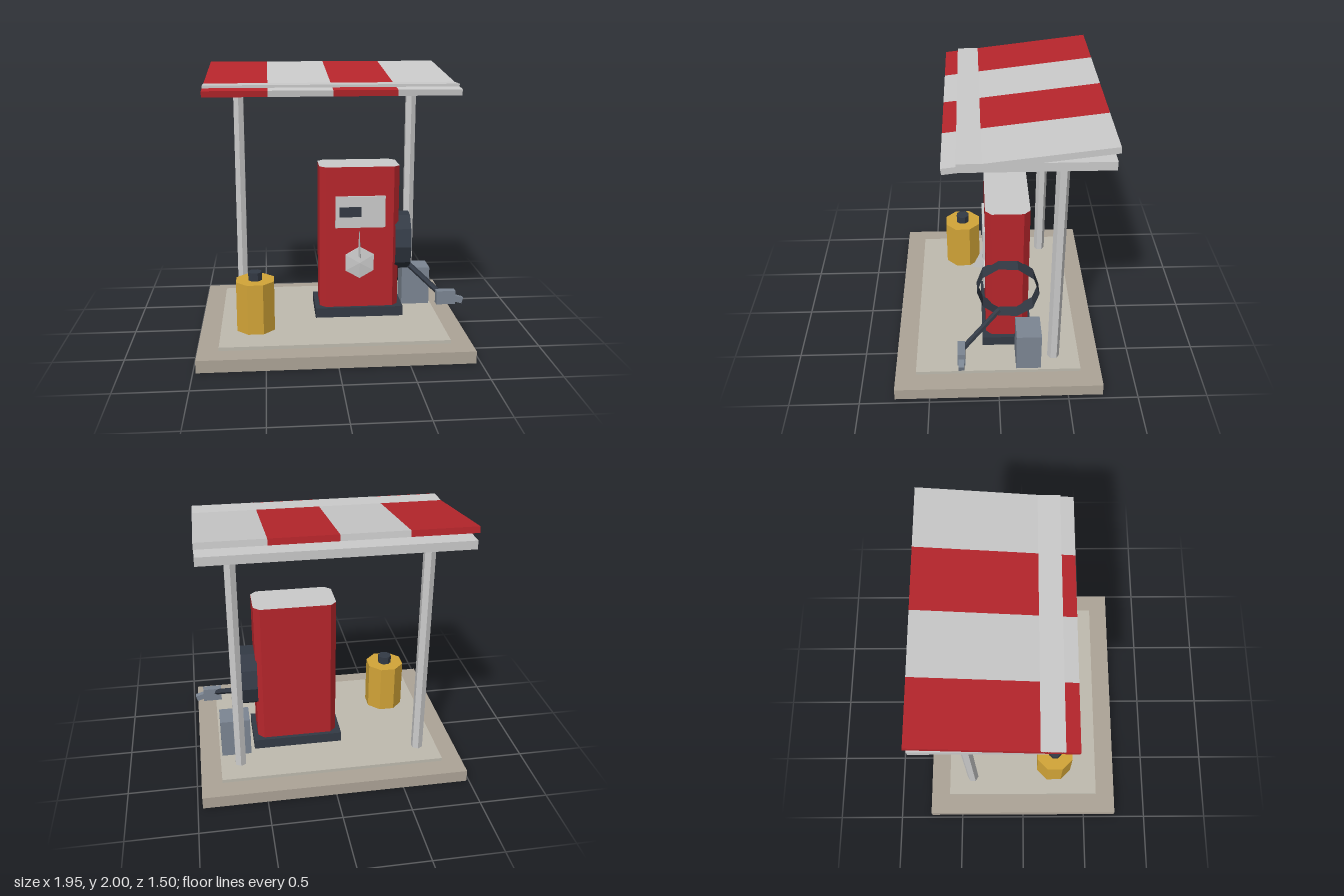
import * as THREE from 'three';

const mat = (color, extra = {}) => new THREE.MeshStandardMaterial({ color, flatShading: true, ...extra });

export function createModel() {
  const model = new THREE.Group();
  const grey = mat(0xcccccc), red = mat(0xb8262c), dark = mat(0x333a45), steel = mat(0x7d8794);
  const yellow = mat(0xd4a638), concrete = mat(0xaea598), paving = mat(0xc0bcb0);

  const add = (name, geometry, material, parent = model) => {
    const mesh = new THREE.Mesh(geometry, material);
    mesh.name = name;
    parent.add(mesh);
    return mesh;
  };
  // Box given by its low and high limits on each axis
  const box = (name, material, [x0, x1], [y0, y1], [z0, z1], parent) => {
    const mesh = add(name, new THREE.BoxGeometry(x1 - x0, y1 - y0, z1 - z0), material, parent);
    mesh.position.set((x0 + x1) / 2, (y0 + y1) / 2, (z0 + z1) / 2);
    return mesh;
  };
  // Upright prism with a number of sides
  const prism = (name, material, r, sides, x, y0, y1, z, turn = 0) => {
    const mesh = add(name, new THREE.CylinderGeometry(r, r, y1 - y0, sides), material);
    mesh.position.set(x, (y0 + y1) / 2, z);
    mesh.rotation.y = turn;
    return mesh;
  };

  // Ground
  box('groundBase', concrete, [-0.98, 0.965], [0, 0.09], [-0.75, 0.75]);
  box('groundSlab', paving, [-0.83, 0.815], [0.09, 0.115], [-0.6, 0.6]);

  // Canopy: two posts, a flat ceiling and a sloping striped roof
  for (const x of [-0.683, 0.668]) prism('canopyPost', grey, 0.044, 6, x, 0.115, 1.85, -0.412);
  box('canopyCeiling', grey, [-0.905, 0.89], [1.84, 1.9], [-0.71, 0.262]);
  const roof = new THREE.Group();
  roof.name = 'canopyRoof';
  roof.position.set(0, 1.9135, -0.185);
  roof.rotation.x = 0.12;
  model.add(roof);
  const stripe = 1.795 / 4;
  for (let i = 0; i < 4; i++) {
    const x = -0.905 + i * stripe;
    box('roofStripe', i % 2 ? grey : red, [x, x + stripe], [-0.0215, 0.0215], [-0.5415, 0.5415], roof);
  }

  // Pump cabinet with chamfered corners and a grey top
  const [x0, x1, z0, z1, c] = [-0.085, 0.515, -0.23, 0.083, 0.045];
  const outline = new THREE.Shape([
    [x0 + c, -z1], [x1 - c, -z1], [x1, -z1 + c], [x1, -z0 - c],
    [x1 - c, -z0], [x0 + c, -z0], [x0, -z0 - c], [x0, -z1 + c],
  ].map(([x, y]) => new THREE.Vector2(x, y)));
  const cabinet = new THREE.ExtrudeGeometry(outline, { depth: 1.09, bevelEnabled: false });
  cabinet.rotateX(-Math.PI / 2).translate(0, 0.19, 0);
  add('pumpCabinet', cabinet, [grey, red]);
  box('pumpPlinth', dark, [-0.12, 0.55], [0.115, 0.19], [-0.26, 0.11]);
  box('pumpPanel', grey, [0.03, 0.405], [0.82, 1.06], [0.08, 0.1]);
  box('pumpDisplay', dark, [0.06, 0.225], [0.905, 0.98], [0.095, 0.109]);

  // Six-sided badge and the thin fin above it
  const badge = new THREE.LatheGeometry(
    [[0.124, 0], [0.124, 0.012], [0, 0.025]].map(([r, y]) => new THREE.Vector2(r, y)), 6);
  badge.rotateX(Math.PI / 2);
  add('pumpBadge', badge, mat(0xcccccc, { side: THREE.DoubleSide })).position.set(0.215, 0.545, 0.082);
  const fin = add('pumpFin', new THREE.ConeGeometry(1, 0.22, 4), grey);
  fin.scale.set(0.012, 1, 0.093);
  fin.position.set(0.213, 0.71, 0.083);

  // Coiled hose: a thin ten-sided band, skewed slightly along its axis
  const coil = new THREE.CylinderGeometry(0.222, 0.222, 0.12, 10, 1, true);
  coil.rotateZ(-Math.PI / 2);
  const p = coil.attributes.position;
  for (let i = 0; i < p.count; i++) p.setX(i, p.getX(i) - 0.07 * p.getZ(i));
  add('hoseCoil', coil, mat(0x333a45, { side: THREE.DoubleSide })).position.set(0.555, 0.672, -0.075);

  // Hose run to the nozzle
  const from = new THREE.Vector3(0.595, 0.5, -0.01), to = new THREE.Vector3(0.815, 0.33, 0.26);
  const dir = to.clone().sub(from);
  const hose = add('hose', new THREE.CylinderGeometry(0.022, 0.022, dir.length(), 6), dark);
  hose.position.copy(from).add(to).multiplyScalar(0.5);
  hose.quaternion.setFromUnitVectors(new THREE.Vector3(0, 1, 0), dir.normalize());

  // Nozzle
  box('nozzleBody', steel, [0.77, 0.912], [0.267, 0.37], [0.237, 0.292]);
  box('nozzleSpout', steel, [0.87, 0.97], [0.28, 0.325], [0.245, 0.284]).rotation.z = -0.28;

  // Bin beside the pump
  box('storageBox', steel, [0.58, 0.8], [0.115, 0.415], [-0.31, -0.13]);

  // Oil drum with cap
  prism('drum', yellow, 0.149, 8, -0.572, 0.115, 0.49, 0.255, Math.PI / 8);
  prism('drumCap', dark, 0.053, 8, -0.572, 0.49, 0.55, 0.255, Math.PI / 8);

  return model;
}
